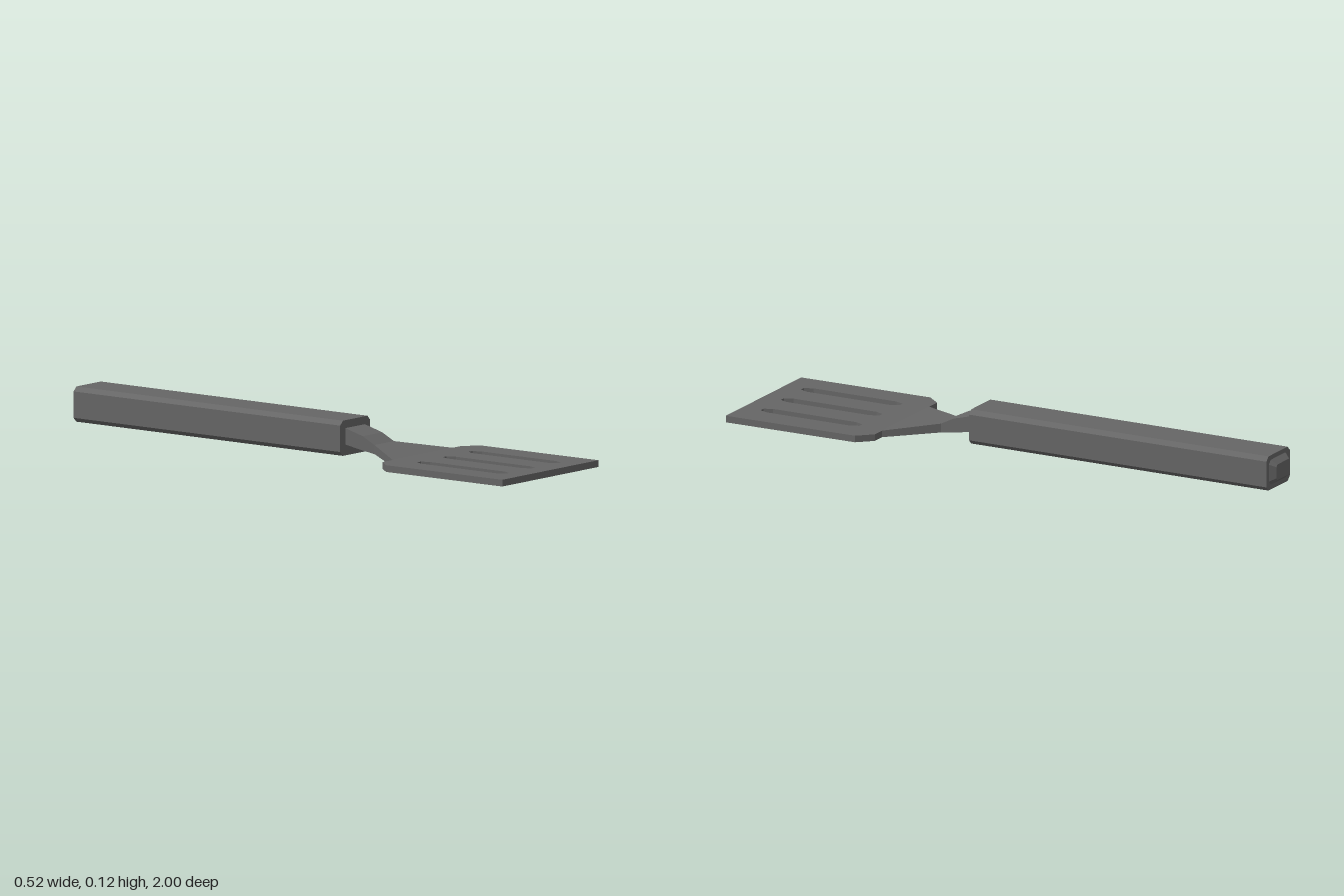
import * as THREE from 'three';

// Solid through equal-length rings; each ring is counter-clockwise seen from +z
function loft(rings) {
  const pos = [];
  const tri = (...pts) => pts.forEach((p) => pos.push(...p));
  const n = rings[0].length;
  for (let r = 0; r < rings.length - 1; r++) {
    const a = rings[r], b = rings[r + 1];
    for (let i = 0; i < n; i++) {
      const j = (i + 1) % n;
      tri(a[i], a[j], b[j]);
      tri(a[i], b[j], b[i]);
    }
  }
  const first = rings[0], last = rings[rings.length - 1];
  for (let i = 1; i < n - 1; i++) {
    tri(first[0], first[i + 1], first[i]);
    tri(last[0], last[i], last[i + 1]);
  }
  const g = new THREE.BufferGeometry();
  g.setAttribute('position', new THREE.Float32BufferAttribute(pos, 3));
  g.computeVertexNormals();
  return g;
}

// Rectangle with cut corners, in the plane at z
function cutRect(x0, x1, y0, y1, c, z) {
  return [
    [x0 + c, y0, z], [x1 - c, y0, z], [x1, y0 + c, z], [x1, y1 - c, z],
    [x1 - c, y1, z], [x0 + c, y1, z], [x0, y1 - c, z], [x0, y0 + c, z],
  ];
}

const rect = (x0, x1, y0, y1, z) => [[x0, y0, z], [x1, y0, z], [x1, y1, z], [x0, y1, z]];

export function createModel() {
  const group = new THREE.Group();
  const grey = new THREE.MeshStandardMaterial({ color: 0x666666 });
  grey.name = 'darkGrey';
  const add = (name, geometry) => {
    const mesh = new THREE.Mesh(geometry, grey);
    mesh.name = name;
    group.add(mesh);
    return mesh;
  };

  // Long grip with bevelled edges
  add('handle', loft([
    cutRect(-0.083, 0.079, 0, 0.12, 0.015, -0.98),
    cutRect(-0.083, 0.079, 0, 0.12, 0.015, 0.165),
  ]));

  // Tapered boss on the back end
  add('handleEnd', loft([
    cutRect(-0.05, 0.046, 0.033, 0.088, 0.008, -1),
    cutRect(-0.067, 0.063, 0.016, 0.105, 0.014, -0.979),
  ]));

  // Bent neck, flaring down into the blade
  add('neck', loft([
    rect(-0.055, 0.05, 0.045, 0.097, 0.14),
    rect(-0.055, 0.05, 0.037, 0.093, 0.165),
    rect(-0.055, 0.05, 0.024, 0.073, 0.24),
    rect(-0.055, 0.05, 0.017, 0.048, 0.29),
    rect(-0.165, 0.16, 0.005, 0.028, 0.455),
  ]));

  // Flat blade, drawn in x and z, with three slots
  const outline = [
    [-0.258, 1], [-0.263, 0.505], [-0.22, 0.455],
    [0.21, 0.455], [0.257, 0.505], [0.262, 1],
  ];
  const shape = new THREE.Shape(outline.map(([x, z]) => new THREE.Vector2(x, z)));
  for (const x of [-0.142, -0.003, 0.137]) {
    const slot = [
      [-0.01, 0.55], [0.01, 0.55], [0.023, 0.58], [0.023, 0.9],
      [0.01, 0.93], [-0.01, 0.93], [-0.023, 0.9], [-0.023, 0.58],
    ];
    shape.holes.push(new THREE.Path(slot.map(([dx, z]) => new THREE.Vector2(x + dx, z))));
  }
  const blade = new THREE.ExtrudeGeometry(shape, { depth: 0.023, bevelEnabled: false });
  blade.rotateX(Math.PI / 2);
  add('blade', blade).position.y = 0.028;

  return group;
}
